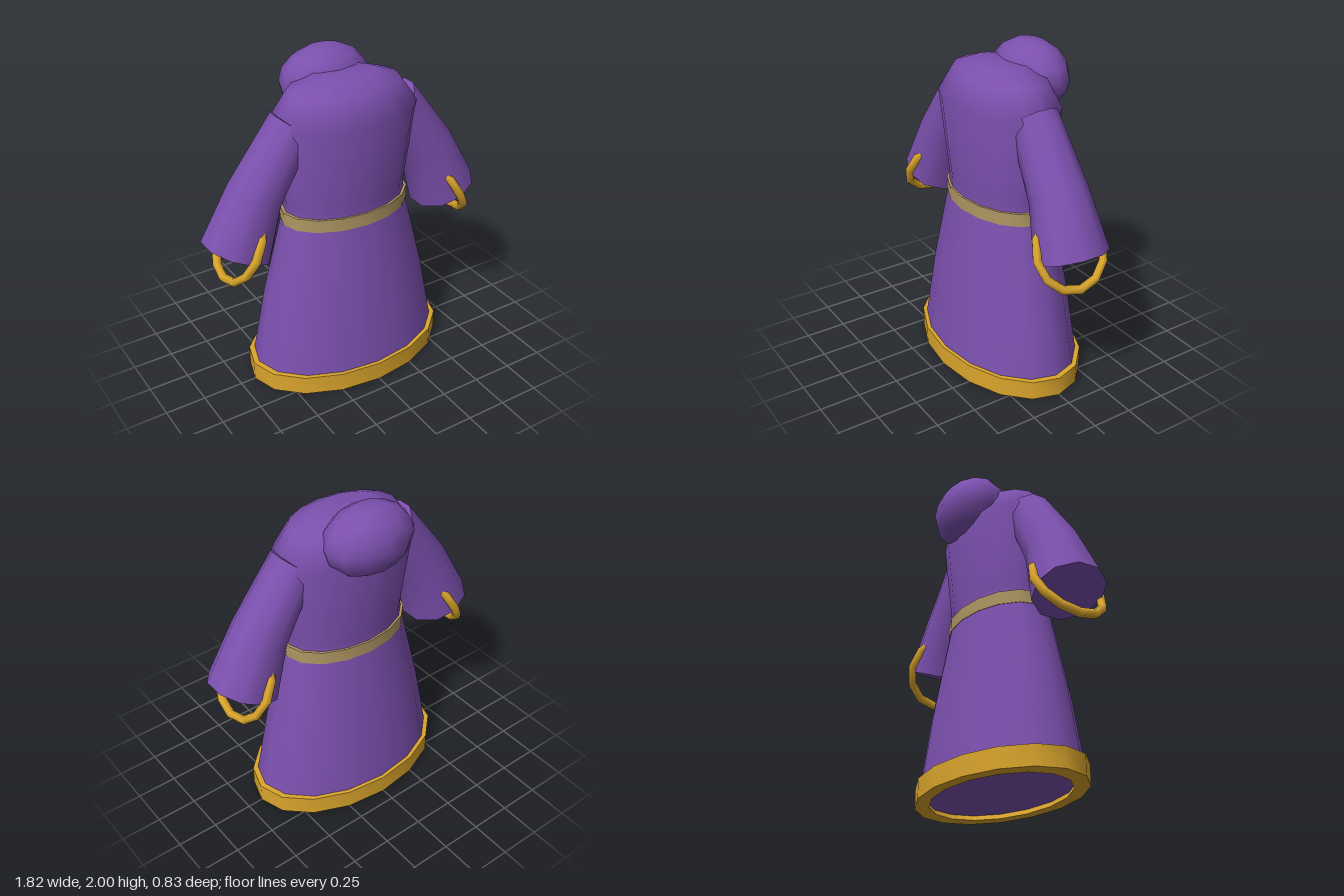
import * as THREE from 'three';
import { toCreasedNormals } from 'three/addons/utils/BufferGeometryUtils.js';

const DEPTH = 0.635; // front-to-back squash of the robe
const SIDES = 16;

function material(name, color) {
  const m = new THREE.MeshStandardMaterial({ color });
  m.name = name;
  return m;
}

// Elliptical lathe from [radius, height] pairs
function ellipticalLathe(profile) {
  const points = profile.map(([r, y]) => new THREE.Vector2(r, y));
  return new THREE.LatheGeometry(points, SIDES).scale(1, 1, DEPTH);
}

// Closed band with square edges
function bandGeometry(inner, outer, y0, y1, innerTop = inner) {
  return toCreasedNormals(ellipticalLathe(
    [[inner, y0], [outer, y0], [outer, y1], [innerTop, y1], [inner, y0]]), 0.8);
}

// Capped ten-sided sleeve swept through three tilted rings
function sleeveGeometry(side) {
  const n = 10;
  const rings = [ // x, y, direction x, direction y, radius
    [0.345, 1.67, 0.6, -0.8, 0.14],
    [0.59, 1.3, 0.51, -0.86, 0.17],
    [0.725, 0.98, 0.38, -0.925, 0.213],
  ];
  const positions = [];
  const index = [];
  for (const [x, y, dx, dy, r] of rings) {
    for (let j = 0; j < n; j++) {
      const a = ((j + 0.5) / n) * Math.PI * 2;
      const u = r * Math.cos(a);
      positions.push(side * x - dy * u, y + side * dx * u, r * Math.sin(a));
    }
  }
  const last = rings.length - 1;
  const start = positions.length / 3;
  positions.push(side * rings[0][0], rings[0][1], 0, side * rings[last][0], rings[last][1], 0);
  for (let j = 0; j < n; j++) {
    const k = (j + 1) % n;
    for (let i = 0; i < last; i++) {
      const a = i * n + j, b = i * n + k;
      index.push(a, b, b + n, a, b + n, a + n);
    }
    index.push(start, k, j, start + 1, last * n + j, last * n + k);
  }
  const g = new THREE.BufferGeometry();
  g.setAttribute('position', new THREE.Float32BufferAttribute(positions, 3));
  g.setIndex(index);
  return toCreasedNormals(g, 0.8);
}

export function createModel() {
  const purple = material('purple cloth', 0x7b50ae);
  const gold = material('gold trim', 0xdaa52c);
  const tan = material('tan belt', 0xb09763);

  const model = new THREE.Group();
  model.name = 'robe';
  const add = (name, geometry, mat) => {
    const mesh = new THREE.Mesh(geometry, mat);
    mesh.name = name;
    model.add(mesh);
    return mesh;
  };

  // Flared gown with rounded shoulders
  add('gown', ellipticalLathe([
    [0.635, 0.03], [0.62, 0.12], [0.535, 0.55], [0.405, 1.06], [0.39, 1.16],
    [0.465, 1.68], [0.35, 1.84], [0.2, 1.895], [0, 1.895],
  ]), purple);
  add('gownUnderside', ellipticalLathe([[0, 0.03], [0.635, 0.03]]), purple);

  // Hem and belt bands
  add('hemTrim', bandGeometry(0.54, 0.655, 0, 0.12, 0.6), gold);
  add('belt', bandGeometry(0.38, 0.415, 1.04, 1.12), tan);

  // Lowered hood behind the shoulders
  const hood = add('hood', new THREE.SphereGeometry(1, 12, 8).scale(0.285, 0.205, 0.2), purple);
  hood.position.set(0, 1.795, -0.215);

  // Sleeves with tilted cuff rings
  for (const side of [1, -1]) {
    const label = side > 0 ? 'left' : 'right';
    add(label + 'Sleeve', sleeveGeometry(side), purple);
    const ring = new THREE.TorusGeometry(0.222, 0.027, 6, 12);
    ring.rotateY(Math.PI / 2).rotateZ(side * 0.5);
    add(label + 'CuffRing', ring, gold).position.set(side * 0.71, 1.01, 0);
  }
  return model;
}
